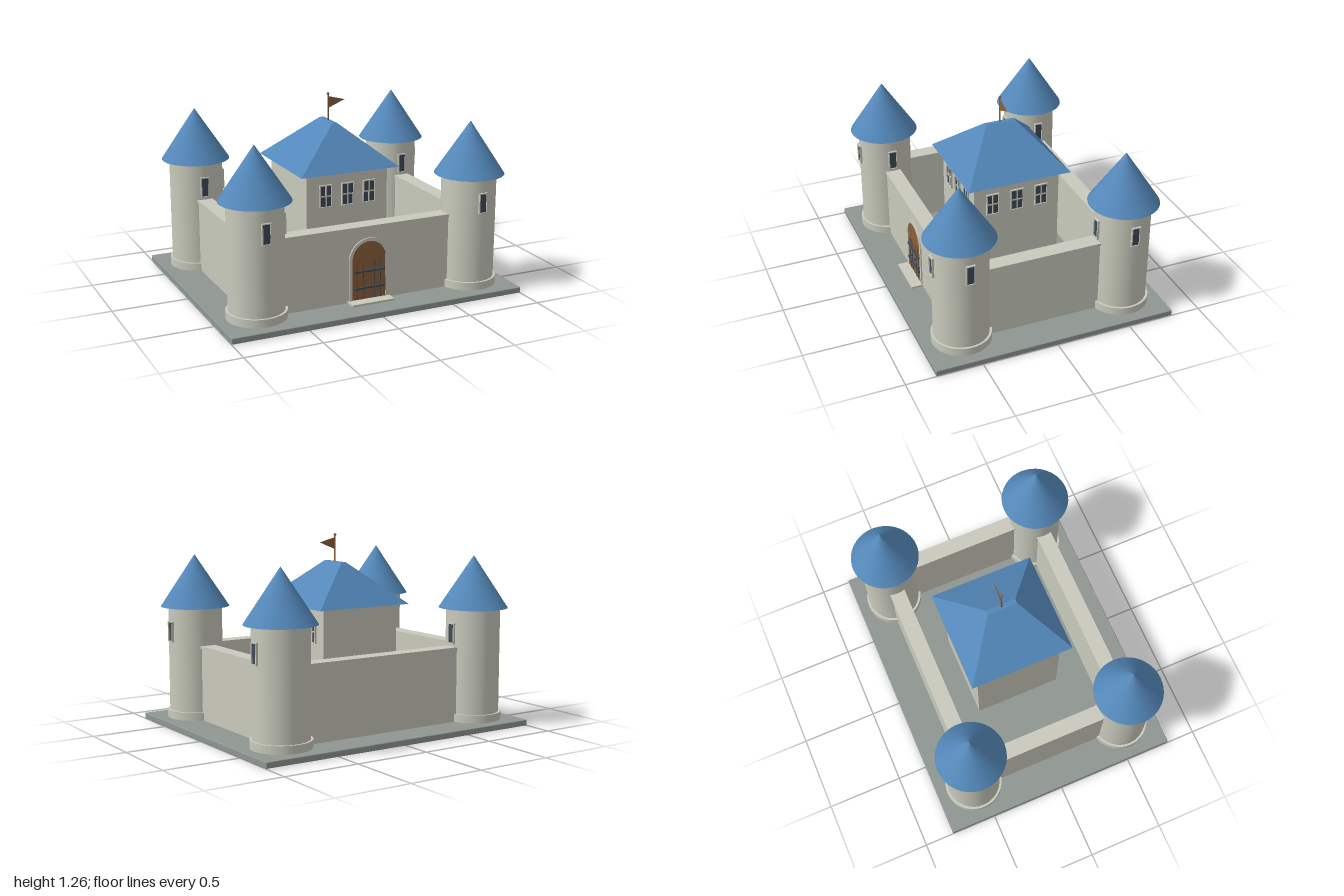
import * as THREE from 'three';
import { RoundedBoxGeometry } from 'three/addons/geometries/RoundedBoxGeometry.js';

const mat = (name, color, side = THREE.FrontSide) => {
  const m = new THREE.MeshStandardMaterial({ color, side });
  m.name = name;
  return m;
};

export function createModel() {
  const stone = mat('pale stone', 0xc9cabc);
  const ground = mat('grey paving', 0x8f9793);
  const slate = mat('blue slate', 0x5488ba);
  const wood = mat('brown wood', 0x8b5e3c);
  const dark = mat('dark iron and glass', 0x3c4a58);

  const castle = new THREE.Group();
  castle.name = 'castle';

  const add = (parent, name, geometry, material, x = 0, y = 0, z = 0) => {
    const mesh = new THREE.Mesh(geometry, material);
    mesh.name = name;
    mesh.position.set(x, y, z);
    parent.add(mesh);
    return mesh;
  };
  const box = (parent, name, w, h, d, material, x, y, z) =>
    add(parent, name, new THREE.BoxGeometry(w, h, d), material, x, y, z);
  const drum = (parent, name, r, y0, y1, material) =>
    add(parent, name, new THREE.CylinderGeometry(r, r, y1 - y0, 40), material, 0, (y0 + y1) / 2, 0);
  const group = (parent, name, x, y, z) => {
    const g = new THREE.Group();
    g.name = name;
    g.position.set(x, y, z);
    parent.add(g);
    return g;
  };

  // Window facing +z: dark pane, stone frame and optional cross bars
  const addWindow = (parent, w, h, bars, x, y, z, turn) => {
    const g = group(parent, 'window', x, y, z);
    g.rotation.y = turn;
    const t = 0.007;
    box(g, 'pane', w, h, 0.008, dark, 0, 0, 0.001);
    for (const s of [-1, 1]) {
      box(g, 'frameSide', t, h + 2 * t, 0.024, stone, s * (w + t) / 2, 0, 0);
      box(g, 'frameEnd', w, t, 0.024, stone, 0, s * (h + t) / 2, 0);
    }
    if (bars) {
      box(g, 'mullion', 0.009, h, 0.018, stone, 0, 0, 0);
      box(g, 'crossBar', w, 0.009, 0.016, stone, 0, 0, 0);
    }
  };

  // Base slab
  add(castle, 'base', new RoundedBoxGeometry(2, 0.04, 1.61, 2, 0.006), ground, 0, 0.02, 0);

  // Corner towers
  const TX = 0.74, TZ = 0.545, R = 0.177;
  for (const sx of [-1, 1]) for (const sz of [-1, 1]) {
    const tower = group(castle, 'tower', sx * TX, 0, sz * TZ);
    drum(tower, 'towerBody', R, 0.04, 0.785, stone);
    drum(tower, 'towerFoot', 0.192, 0.04, 0.092, stone);
    drum(tower, 'towerLip', 0.192, 0.773, 0.785, stone);
    add(tower, 'towerRoof', new THREE.ConeGeometry(0.226, 0.342, 40), slate, 0, 0.951, 0);
    addWindow(tower, 0.046, 0.122, false, 0, 0.62, R, 0);
    addWindow(tower, 0.046, 0.122, false, R, 0.62, 0, Math.PI / 2);
  }

  // Curtain walls with coping
  for (const s of [-1, 1]) {
    box(castle, 'wall', 2 * TX, 0.477, 0.09, stone, 0, 0.2785, s * TZ);
    box(castle, 'coping', 2 * TX - 0.2, 0.018, 0.104, stone, 0, 0.525, s * TZ);
    box(castle, 'sideWall', 0.09, 0.477, 2 * TZ, stone, s * TX, 0.2785, 0);
    box(castle, 'sideCoping', 0.104, 0.018, 2 * TZ - 0.2, stone, s * TX, 0.525, 0);
  }

  // Keep
  const keep = group(castle, 'keep', 0, 0, -0.018);
  box(keep, 'keepBody', 0.57, 0.775, 0.586, stone, 0, 0.4275, 0);
  for (const i of [-1, 0, 1]) {
    addWindow(keep, 0.074, 0.136, true, i * 0.153, 0.658, 0.293, 0);
    addWindow(keep, 0.074, 0.136, true, 0.285, 0.658, i * 0.168, Math.PI / 2);
  }

  // Hipped roof: a box whose top is drawn in to a short ridge
  const hip = new THREE.BoxGeometry(0.688, 0.27, 0.7).toNonIndexed();
  const p = hip.attributes.position;
  for (let i = 0; i < p.count; i++) if (p.getY(i) > 0) {
    p.setX(i, Math.sign(p.getX(i)) * 0.016);
    p.setZ(i, Math.sign(p.getZ(i)) * 0.101);
  }
  hip.computeVertexNormals();
  add(keep, 'keepRoof', hip, slate, 0, 0.945, 0);

  // Flag
  add(keep, 'flagPole', new THREE.CylinderGeometry(0.005, 0.005, 0.185, 12), wood, 0, 1.1625, 0);
  add(keep, 'poleBall', new THREE.SphereGeometry(0.009, 16, 12), wood, 0, 1.255, 0);
  const pennant = new THREE.Shape([[0, 1.238], [0.118, 1.208], [0, 1.16]].map(([x, y]) => new THREE.Vector2(x, y)));
  add(keep, 'flag', new THREE.ExtrudeGeometry(pennant, { depth: 0.005, bevelEnabled: false }), wood, 0, 0, -0.0025);

  // Gate: arched door in a stone surround
  const arch = (r, spring, Type = THREE.Shape) => {
    const s = new Type();
    s.moveTo(-r, 0.05);
    s.lineTo(r, 0.05);
    s.lineTo(r, spring);
    s.absarc(0, spring, r, 0, Math.PI, false);
    s.lineTo(-r, 0.05);
    return s;
  };
  const gate = group(castle, 'gate', 0, 0, 0.58);
  const surround = arch(0.138, 0.317);
  surround.holes.push(arch(0.117, 0.317, THREE.Path));
  const solid = (depth) => ({ depth, bevelEnabled: false, curveSegments: 24 });
  add(gate, 'doorSurround', new THREE.ExtrudeGeometry(surround, solid(0.019)), stone);
  add(gate, 'door', new THREE.ExtrudeGeometry(arch(0.117, 0.317), solid(0.015)), wood);
  for (const x of [-0.08, -0.04, 0.04, 0.08])
    box(gate, 'plankLine', 0.004, 0.25, 0.004, dark, x, 0.178, 0.016);
  for (const y of [0.13, 0.24])
    box(gate, 'strap', 0.214, 0.012, 0.014, dark, 0, y, 0.02);
  for (const s of [-1, 1])
    add(gate, 'doorKnob', new THREE.SphereGeometry(0.008, 14, 10), dark, s * 0.028, 0.185, 0.024);
  box(castle, 'doorStep', 0.29, 0.014, 0.08, stone, 0, 0.046, 0.628);

  return castle;
}
